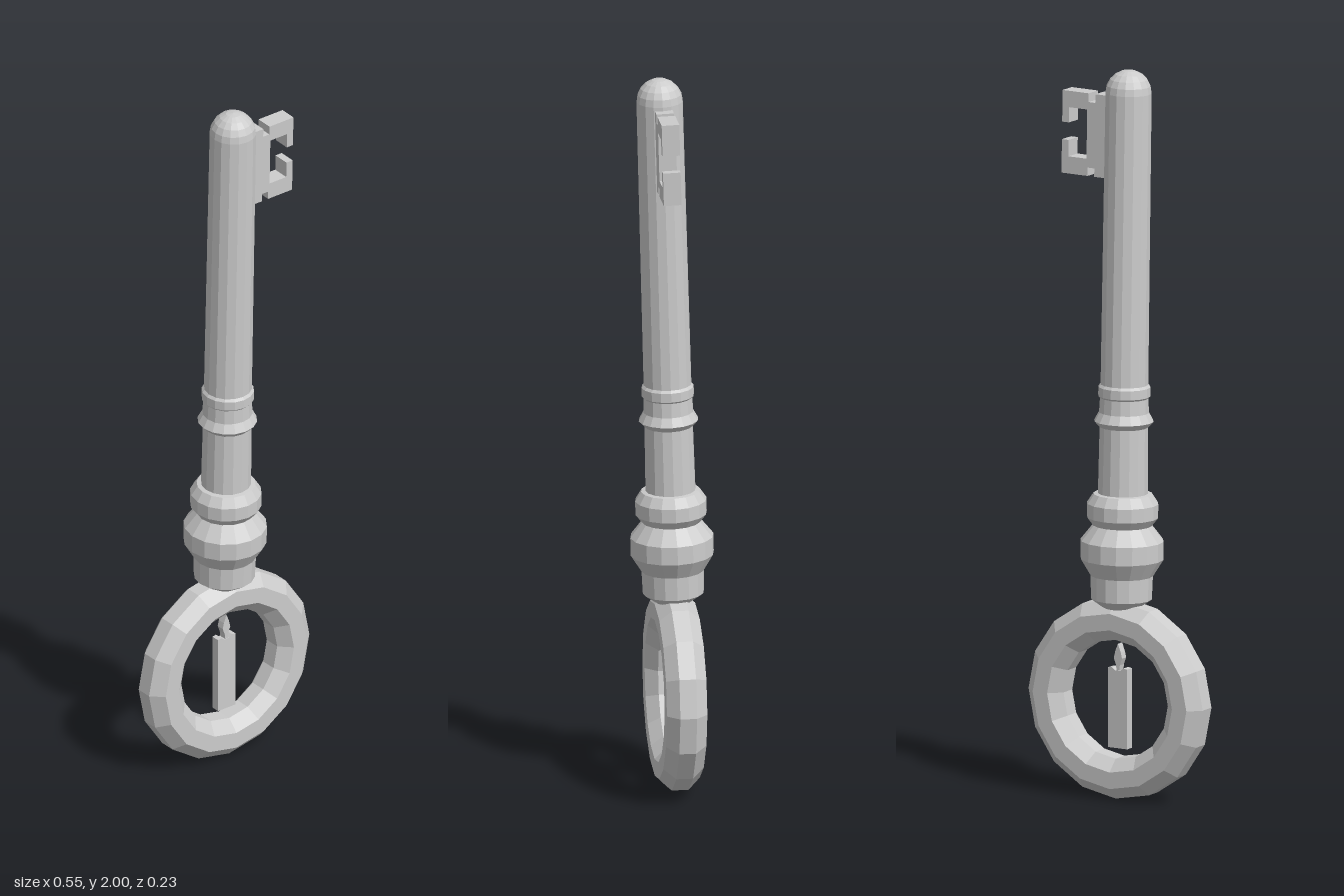
import * as THREE from 'three';

const material = new THREE.MeshStandardMaterial({ color: 0xcccccc, flatShading: true });
const TILT = 0.027; // the shaft leans slightly forward
const BASE = 0.515; // height where the shaft meets the ring

function addMesh(parent, name, geometry) {
  const mesh = new THREE.Mesh(geometry, material);
  mesh.name = name;
  parent.add(mesh);
  return mesh;
}

const vectors = (pts) => pts.map(([x, y]) => new THREE.Vector2(x, y));

// Flat outline extruded symmetrically about z = 0
function plate(pts, depth) {
  const geometry = new THREE.ExtrudeGeometry(new THREE.Shape(vectors(pts)), { depth, bevelEnabled: false });
  return geometry.translate(0, 0, -depth / 2);
}

export function createModel() {
  const key = new THREE.Group();
  key.name = 'key';

  // Ring handle: octagonal section with flats facing outward
  const section = [];
  for (let i = 0; i <= 8; i++) {
    const a = (i + 0.5) * Math.PI / 4;
    section.push([0.219 + 0.0595 * Math.cos(a), 0.0595 * Math.sin(a)]);
  }
  const ring = addMesh(key, 'ringHandle', new THREE.LatheGeometry(vectors(section), 16).rotateX(Math.PI / 2));
  ring.position.set(0, 0.274, -0.004);

  // Candle emblem inside the ring
  const candle = new THREE.Group();
  candle.name = 'candle';
  candle.position.z = -0.004;
  key.add(candle);
  addMesh(candle, 'candleStick', plate([
    [-0.03, 0.137], [0.03, 0.137], [0.03, 0.357], [0.018, 0.359],
    [0.008, 0.351], [-0.008, 0.351], [-0.018, 0.359], [-0.03, 0.357],
  ], 0.025));
  addMesh(candle, 'flame', plate([
    [-0.004, 0.35], [0.004, 0.35], [0.006, 0.366], [0.013, 0.385],
    [0.008, 0.405], [0, 0.425], [-0.009, 0.402], [-0.013, 0.385], [-0.006, 0.366],
  ], 0.022));

  // Everything above the ring leans together
  const upper = new THREE.Group();
  upper.name = 'upperKey';
  upper.position.set(-0.002, BASE, -0.001);
  upper.rotation.x = TILT;
  key.add(upper);

  // Turned collars, shaft and domed tip in one profile
  const profile = [
    [0, 0.515], [0.04, 0.517], [0.083, 0.548], [0.085, 0.612],
    [0.113, 0.658], [0.113, 0.708], [0.08, 0.75],
    [0.097, 0.772], [0.097, 0.81], [0.08, 0.836], [0.068, 0.838],
    [0.066, 1.02], [0.081, 1.036], [0.068, 1.06], [0.066, 1.1],
    [0.071, 1.105], [0.071, 1.13], [0.065, 1.137], [0.063, 1.937],
  ];
  for (let i = 1; i <= 5; i++) {
    const a = i * Math.PI / 10;
    profile.push([0.063 * Math.cos(a), 1.937 + 0.063 * Math.sin(a)]);
  }
  const shaft = addMesh(upper, 'shaft', new THREE.LatheGeometry(vectors(profile), 16));
  shaft.position.y = -BASE;

  // Notched bit with two hooked teeth
  const bit = addMesh(upper, 'bit', plate([
    [0.04, 1.70], [0.087, 1.70], [0.087, 1.723], [0.108, 1.723], [0.108, 1.70], [0.19, 1.70],
    [0.19, 1.792], [0.169, 1.792], [0.169, 1.747], [0.112, 1.747],
    [0.112, 1.882], [0.169, 1.882], [0.169, 1.84], [0.19, 1.84],
    [0.19, 1.927], [0.108, 1.927], [0.108, 1.903], [0.087, 1.903], [0.087, 1.927], [0.04, 1.927],
  ], 0.048));
  bit.position.set(0.001, -BASE, -0.003);

  return key;
}
